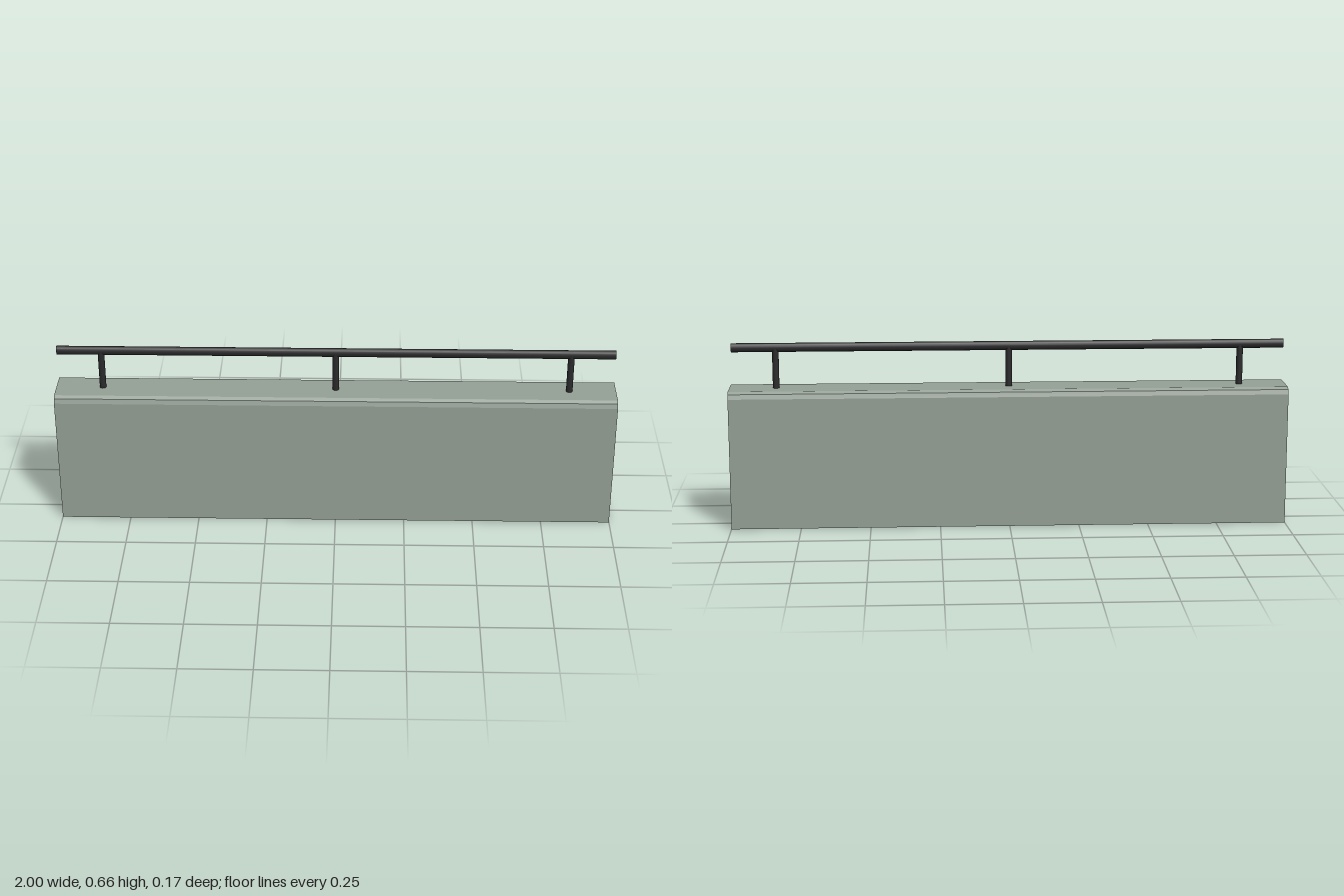
import * as THREE from 'three';

export function createModel() {
  const group = new THREE.Group();
  const concrete = new THREE.MeshStandardMaterial({ name: 'grey green concrete', color: 0x949f95 });
  const metal = new THREE.MeshStandardMaterial({ name: 'black metal', color: 0x2a2a2c });

  const add = (name, geometry, material, x = 0, y = 0) => {
    const mesh = new THREE.Mesh(geometry, material);
    mesh.name = name;
    mesh.position.set(x, y, 0);
    group.add(mesh);
    return mesh;
  };

  // Barrier wall: cross-section with softened top edges, extruded along x
  const half = 0.0833, height = 0.5;
  const section = new THREE.Shape([
    [-half, 0], [half, 0], [half, 0.475], [0.078, 0.492], [0.066, height],
    [-0.066, height], [-0.078, 0.492], [-half, 0.475],
  ].map(([z, y]) => new THREE.Vector2(z, y)));
  const wall = new THREE.ExtrudeGeometry(section, { depth: 2, bevelEnabled: false });
  wall.translate(0, 0, -1).rotateY(Math.PI / 2);
  add('wall', wall, concrete);

  // Handrail: slightly tall oval tube with closed ends
  const rail = new THREE.CylinderGeometry(1, 1, 1.98, 16);
  rail.rotateZ(Math.PI / 2).scale(1, 0.0163, 0.0117);
  add('handrail', rail, metal, 0, 0.6467);

  // Posts carrying the handrail
  for (const x of [-0.833, 0, 0.833]) {
    add('railPost', new THREE.CylinderGeometry(0.0117, 0.0117, 0.15, 12), metal, x, 0.57);
  }

  return group;
}
